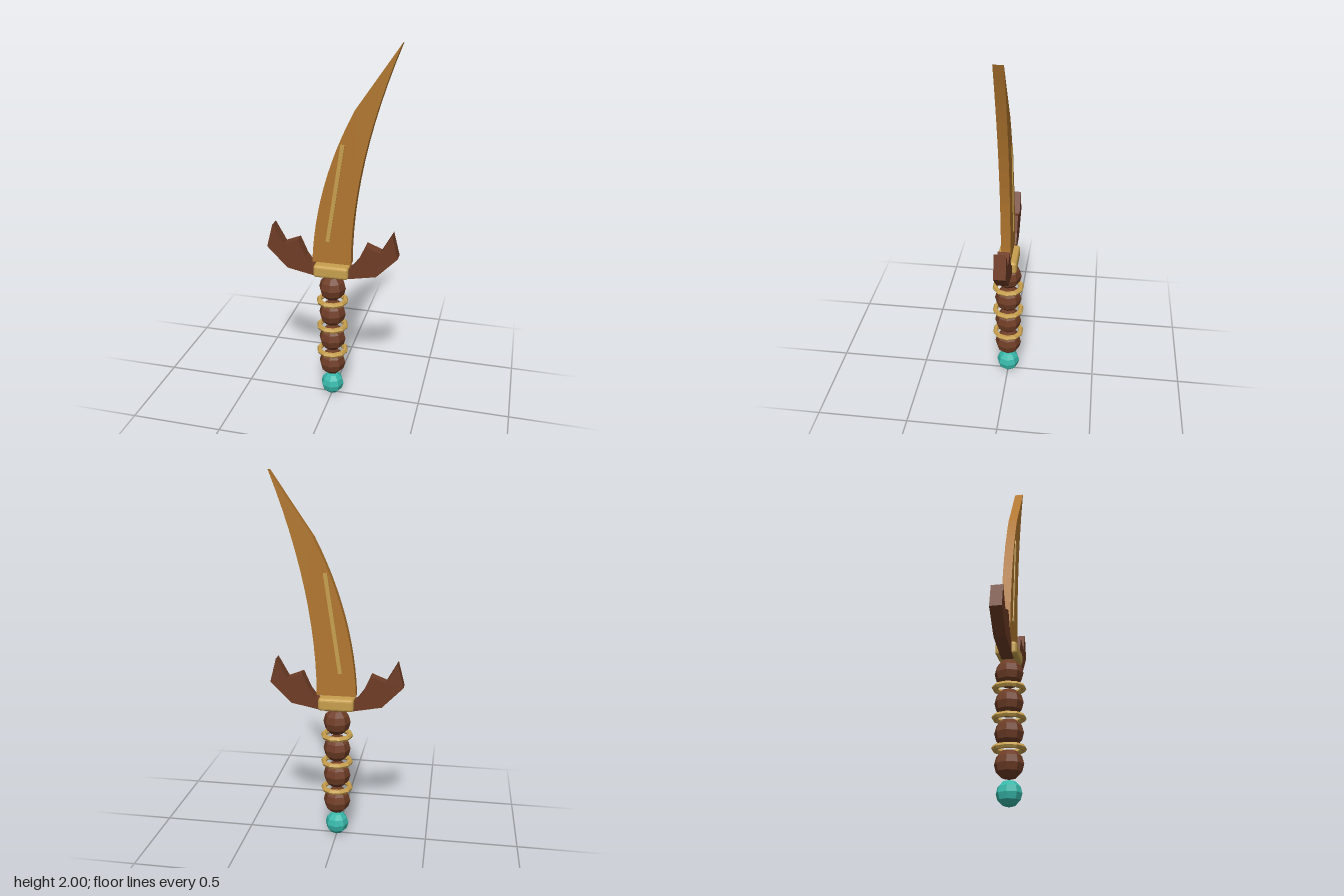
import * as THREE from 'three';
import { RoundedBoxGeometry } from 'three/addons/geometries/RoundedBoxGeometry.js';

const material = (name, color) => {
  const m = new THREE.MeshStandardMaterial({ color, flatShading: true });
  m.name = name;
  return m;
};

export function createModel() {
  const bronze = material('bronze', 0xb2772f);
  const wood = material('dark wood', 0x6f3d26);
  const gold = material('gold', 0xc8a04e);
  const teal = material('teal', 0x38b8aa);

  const group = new THREE.Group();
  group.name = 'dagger';
  const add = (name, geometry, mat, x = 0, y = 0, z = 0) => {
    const mesh = new THREE.Mesh(geometry, mat);
    mesh.name = name;
    mesh.position.set(x, y, z);
    group.add(mesh);
    return mesh;
  };
  // Flat outline extruded evenly about z = 0
  const slab = (shape, depth) =>
    new THREE.ExtrudeGeometry(shape, { depth, bevelEnabled: false, curveSegments: 12 })
      .translate(0, 0, -depth / 2);

  // Curved blade with a clipped point
  const blade = new THREE.Shape();
  blade.moveTo(-0.106, 0.83);
  blade.lineTo(0.106, 0.83);
  blade.quadraticCurveTo(0.105, 1.385, 0.345, 2.0);
  blade.lineTo(0.12, 1.67);
  blade.quadraticCurveTo(-0.087, 1.27, -0.106, 0.83);
  add('blade', slab(blade, 0.05), bronze);

  // Slanted inlay showing on both faces of the blade
  add('bladeInlay', new THREE.BoxGeometry(0.021, 0.54, 0.06), gold, 0.019, 1.223)
    .rotation.z = -0.147;

  // Jagged guard wings, mirrored
  const wing = [[0, 0.755], [0.05, 0.742], [0.245, 0.78], [0.358, 0.895], [0.325, 1.025],
    [0.265, 0.918], [0.185, 0.95], [0.145, 0.86], [0.11, 0.812], [0.06, 0.795], [0, 0.79]];
  for (const side of [1, -1]) {
    const shape = new THREE.Shape(wing.map(([x, y]) => new THREE.Vector2(x * side, y)));
    add(side > 0 ? 'leftGuardWing' : 'rightGuardWing', slab(shape, 0.063), wood);
  }

  // Collar block at the root of the blade
  add('collar', new RoundedBoxGeometry(0.192, 0.07, 0.112, 2, 0.016), gold, 0, 0.784);

  // Beaded grip with loose rings between the beads
  for (let i = 0; i < 4; i++) {
    const y = 0.208 + i * 0.156;
    add('gripBead', new THREE.SphereGeometry(0.075, 8, 6), wood, 0, y);
    if (i < 3) {
      add('gripRing', new THREE.TorusGeometry(0.074, 0.015, 6, 10).rotateX(Math.PI / 2),
        gold, 0, y + 0.078);
    }
  }

  // Pommel gem
  add('pommelGem', new THREE.SphereGeometry(0.065, 8, 6), teal, 0, 0.068);
  return group;
}
